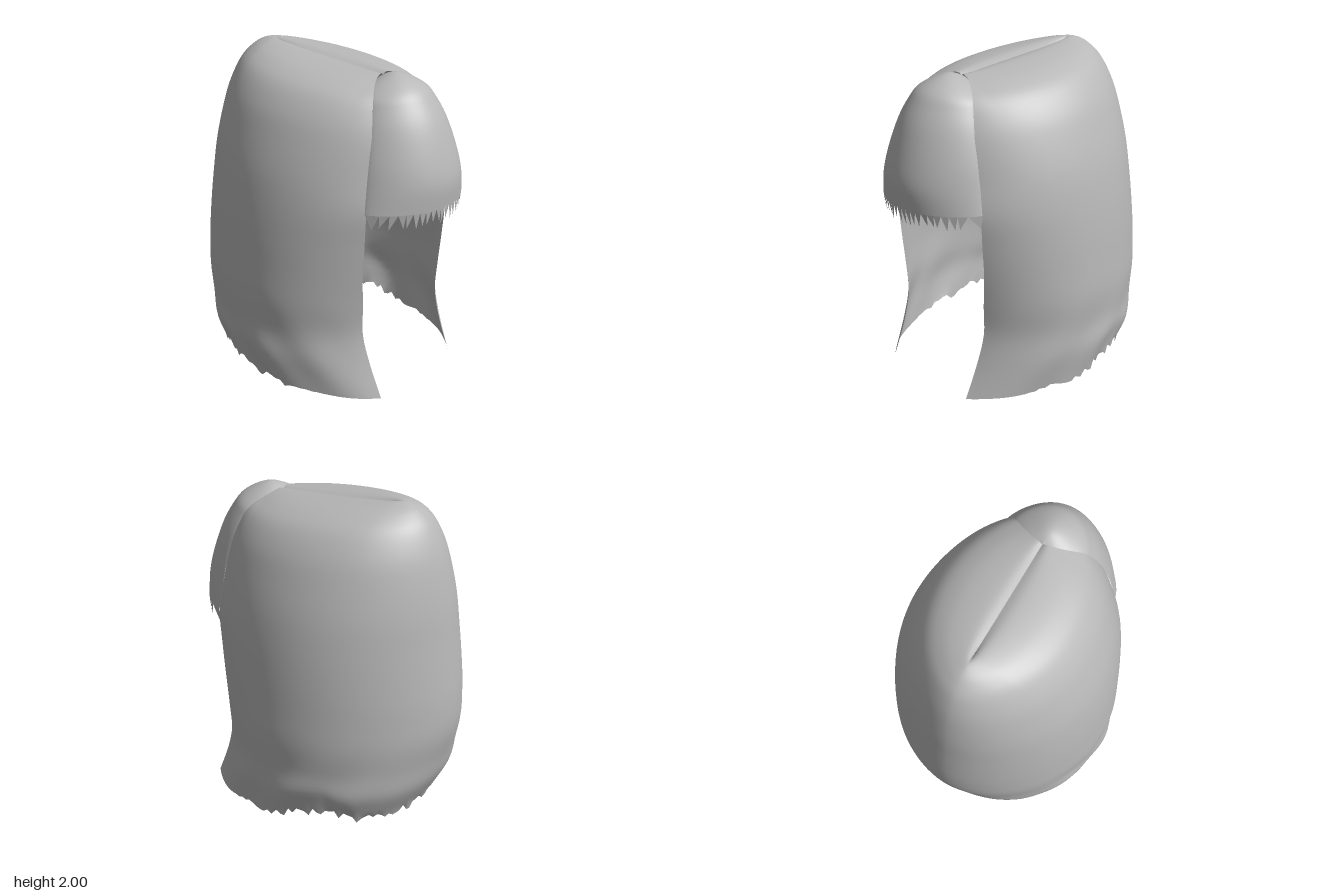
import * as THREE from 'three';

const { clamp, smoothstep, lerp } = THREE.MathUtils;

// small seeded random generator for ragged hair ends
function seeded(seed) {
  return () => {
    seed = (seed * 16807) % 2147483647;
    return seed / 2147483647;
  };
}

// smooth interpolation down a table of cross-section rows
function sampleRow(table, t) {
  const f = t * (table.length - 1);
  const i = Math.min(Math.floor(f), table.length - 2);
  const k = f - i;
  const at = (j) => table[clamp(j, 0, table.length - 1)];
  return at(i).map((p1, n) => {
    const p0 = at(i - 1)[n], p2 = at(i + 1)[n], p3 = at(i + 2)[n];
    const m1 = (p2 - p0) / 2, m2 = (p3 - p1) / 2;
    const k2 = k * k, k3 = k2 * k;
    return (2 * k3 - 3 * k2 + 1) * p1 + (k3 - 2 * k2 + k) * m1 + (3 * k2 - 2 * k3) * p2 + (k3 - k2) * m2;
  });
}

// smooth sheet from point(row, column)
function sheet(rows, cols, point) {
  const pos = [], index = [];
  for (let r = 0; r <= rows; r++) {
    for (let c = 0; c <= cols; c++) pos.push(...point(r, c));
  }
  for (let r = 0; r < rows; r++) {
    for (let c = 0; c < cols; c++) {
      const a = r * (cols + 1) + c, d = a + cols + 1;
      index.push(a, a + 1, d, a + 1, d + 1, d);
    }
  }
  const g = new THREE.BufferGeometry();
  g.setAttribute('position', new THREE.Float32BufferAttribute(pos, 3));
  g.setIndex(index);
  g.computeVertexNormals();
  return g;
}

// height of the lower hem at depth z
const HEM = [[-0.67, 0.065], [-0.5, 0.08], [-0.36, 0.15], [-0.2, 0.125], [0, 0.075], [0.2, 0.045], [0.66, 0]];
function hemHeight(z) {
  if (z <= HEM[0][0]) return HEM[0][1];
  for (let i = 1; i < HEM.length; i++) {
    const [z0, y0] = HEM[i - 1], [z1, y1] = HEM[i];
    if (z <= z1) return lerp(y0, y1, (z - z0) / (z1 - z0));
  }
  return 0;
}

// rows: height, half width, back z, front edge x, front edge z
const SHELL = [
  [1.98, 0, -0.43, 0, 0.37],
  [2.0, 0.065, -0.48, 0.03, 0.375],
  [1.985, 0.18, -0.545, 0.085, 0.39],
  [1.95, 0.29, -0.605, 0.15, 0.42],
  [1.88, 0.4, -0.67, 0.23, 0.47],
  [1.75, 0.495, -0.73, 0.29, 0.51],
  [1.6, 0.56, -0.77, 0.335, 0.54],
  [1.4, 0.625, -0.805, 0.385, 0.555],
  [1.2, 0.665, -0.825, 0.42, 0.57],
  [1.0, 0.69, -0.845, 0.42, 0.56],
  [0.8, 0.705, -0.86, 0.415, 0.545],
  [0.6, 0.715, -0.855, 0.395, 0.535],
  [0.4, 0.705, -0.81, 0.385, 0.528],
  [0.2, 0.71, -0.765, 0.375, 0.578],
  [0, 0.68, -0.67, 0.37, 0.66],
];

// long hair: parted on top, wrapping the sides and back, open at the front
function longHair() {
  const rows = 56, half = 60, zm = -0.04;
  const rand = seeded(71);
  return sheet(rows, half * 2, (r, c) => {
    const [y0, w, zb, fx, fz] = sampleRow(SHELL, r / rows);
    const side = Math.sign(c - half), k = Math.abs(c - half) / half;
    const edge = Math.acos(w > 0.01 ? clamp(fx / w, 0, 0.95) : 0.5);
    const th = -Math.PI / 2 + (edge + Math.PI / 2) * k;
    const s = Math.sin(th), cos = Math.max(0, Math.cos(th));
    const z = zm + s * (s > 0 ? (fz - zm) / Math.sin(edge) : zm - zb);
    const low = 1 - smoothstep(y0, 0.1, 0.7);
    const wave = 1 + 0.01 * low * Math.sin(11 * th + 9 * y0 + side) * cos;
    // back corners are tapered, filling out toward the ends
    const corner = lerp(1.13, 0.92, 1 - smoothstep(y0, 0.15, 0.75));
    const x = side * w * (s < 0 ? cos ** corner : cos) * (k === 1 ? 1 : wave);
    // crown slopes down toward the front
    let y = y0 - 0.075 * clamp((z + 0.45) / 0.83, 0, 1) * (y0 / 2) ** 8;
    y += hemHeight(z) * (1 - smoothstep(y0, 0, 0.5));
    if (r === rows) y = Math.max(0, y + (rand() - 0.5) * 0.055 * (1 - smoothstep(z, 0.1, 0.4)));
    return [x, y, z];
  });
}

// rows: front height, half width, front z, side edge height, side edge z
const FRINGE = [
  [1.915, 0, 0.37, 1.91, 0.365],
  [1.945, 0.07, 0.45, 1.908, 0.38],
  [1.925, 0.145, 0.54, 1.887, 0.415],
  [1.87, 0.225, 0.64, 1.835, 0.462],
  [1.8, 0.26, 0.7, 1.78, 0.49],
  [1.68, 0.31, 0.77, 1.67, 0.52],
  [1.5, 0.365, 0.835, 1.5, 0.545],
  [1.35, 0.4, 0.868, 1.35, 0.555],
  [1.21, 0.428, 0.86, 1.21, 0.565],
];

// point on the fringe for a row and an angle
function fringePoint([yf, w, zf, ye, ze], a) {
  const bulge = Math.max(0, Math.cos(a)) ** 1.45;
  return [w * Math.sin(a), lerp(ye, yf, bulge), lerp(ze, zf, bulge)];
}

function fringe() {
  const rows = 32, cols = 64;
  return sheet(rows, cols, (r, c) =>
    fringePoint(sampleRow(FRINGE, r / rows), (0.5 - c / cols) * Math.PI));
}

// pointed ends hanging from the fringe
function fringeTips() {
  const rand = seeded(29), pos = [], n = 24;
  const top = FRINGE[FRINGE.length - 1];
  for (let i = 0; i < n; i++) {
    const a0 = Math.asin(1 - 2 * i / n), a1 = Math.asin(1 - 2 * (i + 1) / n);
    const tip = fringePoint(top, lerp(a0, a1, rand()));
    tip[1] -= 0.075 + 0.025 * rand();
    tip[2] -= 0.01;
    pos.push(...fringePoint(top, a0), ...fringePoint(top, a1), ...tip);
  }
  const g = new THREE.BufferGeometry();
  g.setAttribute('position', new THREE.Float32BufferAttribute(pos, 3));
  g.computeVertexNormals();
  return g;
}

export function createModel() {
  const group = new THREE.Group();
  group.name = 'hair';
  const grey = new THREE.MeshStandardMaterial({ color: 0xb8b8b8, side: THREE.DoubleSide });
  grey.name = 'hair grey';
  const parts = { longHair: longHair(), fringe: fringe(), fringeTips: fringeTips() };
  for (const [name, geometry] of Object.entries(parts)) {
    const mesh = new THREE.Mesh(geometry, grey);
    mesh.name = name;
    group.add(mesh);
  }
  return group;
}
